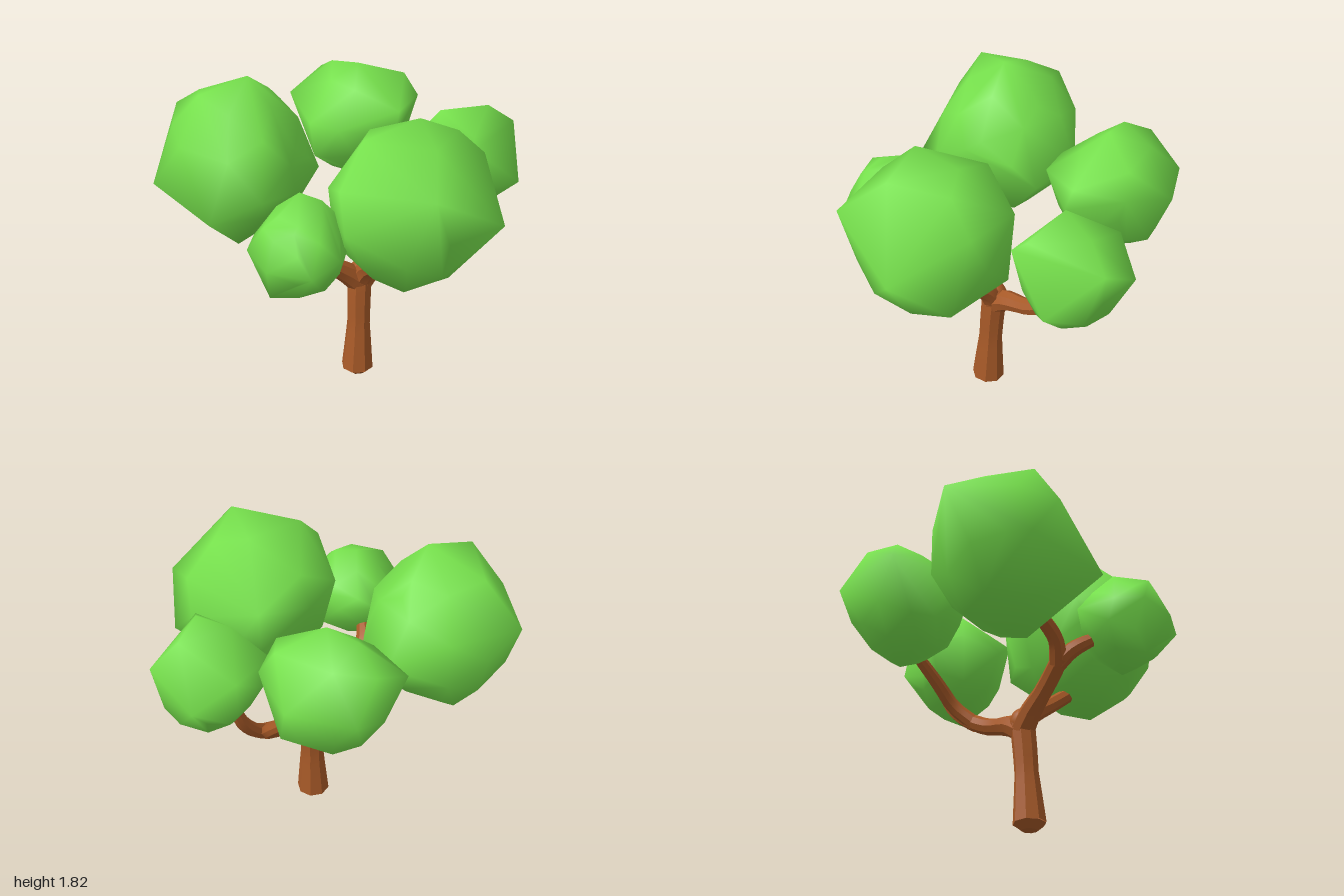
import * as THREE from 'three';
import { mergeVertices, toCreasedNormals } from 'three/addons/utils/BufferGeometryUtils.js';
import { ConvexGeometry } from 'three/addons/geometries/ConvexGeometry.js';

const bark = new THREE.MeshStandardMaterial({ color: 0xa85a28, side: THREE.DoubleSide });
const leaf = new THREE.MeshStandardMaterial({ color: 0x76e04c });
const toVec = (p) => new THREE.Vector3(...p);

// Eight-sided limb swept along a curve, its radius easing through three values
function limb(name, points, [r0, r1, r2]) {
  const curve = new THREE.CatmullRomCurve3(points.map(toVec));
  const steps = 8, sides = 8;
  const geo = new THREE.TubeGeometry(curve, steps, 1, sides);
  const pos = geo.attributes.position;
  const v = new THREE.Vector3();
  for (let i = 0; i < pos.count; i++) {
    const t = Math.floor(i / (sides + 1)) / steps;
    const c = curve.getPointAt(t);
    const r = t < 0.5 ? r0 + (r1 - r0) * t * 2 : r1 + (r2 - r1) * (t * 2 - 1);
    v.fromBufferAttribute(pos, i).sub(c).multiplyScalar(r).add(c);
    pos.setXYZ(i, v.x, v.y, v.z);
  }
  const mesh = new THREE.Mesh(toCreasedNormals(geo, 0.6), bark);
  mesh.name = name;
  return mesh;
}

// Leaf clump: hull of a rounded core and its protruding corners, shaded smooth
function clump(name, corners) {
  const pts = corners.map(toVec);
  const box = new THREE.Box3().setFromPoints(pts);
  const mid = box.getCenter(new THREE.Vector3());
  const half = box.getSize(new THREE.Vector3()).multiplyScalar(0.435);
  const core = new THREE.IcosahedronGeometry(1, 1).attributes.position;
  for (let i = 0; i < core.count; i++) {
    pts.push(new THREE.Vector3().fromBufferAttribute(core, i).multiply(half).add(mid));
  }
  let geo = new ConvexGeometry(pts);
  geo.deleteAttribute('normal');
  geo = mergeVertices(geo, 1e-4);
  geo.computeVertexNormals();
  const mesh = new THREE.Mesh(geo, leaf);
  mesh.name = name;
  return mesh;
}

export function createModel() {
  const tree = new THREE.Group();
  tree.name = 'tree';

  // Trunk with a bevelled foot, flaring into the fork
  tree.add(limb('trunk', [[-0.04, 0.04, 0.046], [-0.03, 0.25, 0.04], [-0.02, 0.48, 0.03], [-0.01, 0.63, 0.02]], [0.094, 0.068, 0.072]));
  const foot = new THREE.Mesh(toCreasedNormals(new THREE.CylinderGeometry(0.093, 0.045, 0.04, 8), 0.6), bark);
  foot.name = 'trunkFoot';
  foot.position.set(-0.04, 0.02, 0.046);
  tree.add(foot);
  const fork = new THREE.Mesh(mergeVertices(new THREE.IcosahedronGeometry(1, 1)), bark);
  fork.name = 'fork';
  fork.scale.set(0.078, 0.09, 0.072);
  fork.position.set(-0.01, 0.635, 0.018);
  tree.add(fork);

  // Branches and their twigs
  const branches = [
    ['frontBranch', [[-0.01, 0.6, 0.02], [0, 0.7, 0.08], [0, 0.79, 0.21], [0, 0.95, 0.42]], [0.068, 0.046, 0.04]],
    ['rightBranch', [[-0.01, 0.59, 0.02], [-0.09, 0.67, 0.02], [-0.22, 0.77, 0.03], [-0.38, 0.9, 0.03]], [0.072, 0.052, 0.05]],
    ['rightFrontTwig', [[-0.35, 0.87, 0.03], [-0.42, 0.94, 0.08], [-0.5, 1.02, 0.2]], [0.05, 0.045, 0.035]],
    ['rightBackTwig', [[-0.35, 0.87, 0.03], [-0.42, 0.97, -0.03], [-0.48, 1.08, -0.2]], [0.05, 0.045, 0.04]],
    ['leftBranch', [[-0.01, 0.59, 0.02], [0.08, 0.645, 0], [0.25, 0.69, -0.04], [0.38, 0.76, -0.09]], [0.072, 0.05, 0.047]],
    ['leftTwig', [[0.34, 0.73, -0.07], [0.46, 0.82, -0.11], [0.55, 0.93, -0.13], [0.62, 1.1, -0.14]], [0.046, 0.04, 0.034]],
    ['leftBackTwig', [[0.34, 0.73, -0.07], [0.41, 0.84, -0.18], [0.4, 0.95, -0.29], [0.38, 1.1, -0.46]], [0.045, 0.04, 0.033]],
  ];
  branches.forEach((b) => tree.add(limb(...b)));

  // Leaf clumps
  tree.add(clump('backRightLeaves', [
    [-1, 1.2, -0.57], [-0.92, 1.5, -0.34], [-0.77, 1.75, -0.4], [-0.49, 1.82, -0.37],
    [-0.26, 1.61, -0.45], [-0.7, 1.5, -0.915], [-0.31, 1.35, -0.75], [-0.08, 1.3, -0.58],
    [-0.09, 1.2, -0.32], [-0.4, 1.4, -0.04], [-0.61, 1.25, 0.03], [-0.89, 1.15, -0.05],
    [-0.49, 0.92, -0.66], [-0.6, 0.82, -0.34], [-0.28, 0.97, -0.3], [-0.91, 1.2, -0.67],
  ]));
  tree.add(clump('frontLeaves', [
    [-0.2, 1.68, 0.4], [0.17, 1.715, 0.36], [0.05, 1.7, 0.72], [0.32, 1.67, 0.5],
    [-0.39, 1.48, 0.5], [-0.44, 1.3, 0.65], [-0.34, 1.1, 0.45], [0, 0.77, 0.5],
    [0.51, 1.09, 0.64], [0.52, 1.3, 0.42], [0.49, 1.5, 0.5], [-0.08, 1.54, 0.95],
    [0.35, 1.29, 0.92], [0.29, 1.4, 0.09], [0.01, 1.4, 0], [-0.3, 1.35, 0.2],
    [0.42, 1.1, 0.22], [0.02, 1.57, 0.08],
  ]));
  tree.add(clump('frontRightLeaves', [
    [-0.82, 1.15, 0.28], [-0.76, 1.3, 0.36], [-0.52, 1.42, 0.3], [-0.44, 1.4, 0.4],
    [-0.73, 0.87, 0.35], [-0.51, 0.82, 0.35], [-0.29, 1, 0.32], [-0.8, 1.1, 0.47],
    [-0.63, 1.1, 0.65], [-0.45, 1.15, 0.63], [-0.5, 1.15, 0.06], [-0.72, 1.15, 0.15],
    [-0.27, 1.2, 0.35], [-0.65, 1.3, 0.5], [-0.6, 0.93, 0.5],
  ]));
  tree.add(clump('leftLeaves', [
    [1, 1.39, 0.03], [0.84, 1.51, 0], [0.55, 1.52, -0.05], [0.9, 1.1, 0.05],
    [0.69, 0.87, 0.05], [0.92, 1.22, -0.24], [0.69, 1.36, -0.31], [0.51, 1.25, -0.28],
    [0.37, 1.3, -0.14], [0.37, 1.25, 0.11], [0.56, 1.41, 0.3], [0.86, 1.15, 0.31],
    [0.65, 1.11, -0.26], [0.6, 1.45, 0.23],
  ]));
  tree.add(clump('backLeftLeaves', [
    [0.28, 1.69, -0.53], [0.2, 1.66, -0.7], [0.22, 1.56, -0.88], [0.395, 1.37, -0.957],
    [-0.01, 1.45, -0.84], [-0.065, 1.4, -0.475], [0.03, 1.4, -0.3], [0.34, 1.34, -0.2],
    [0.55, 1.6, -0.46], [0.61, 1.47, -0.4], [0.65, 1.4, -0.69], [0.6, 1.15, -0.58],
    [0.3, 0.945, -0.6], [0.38, 1.48, -0.22], [0, 1.15, -0.55],
  ]));
  return tree;
}
